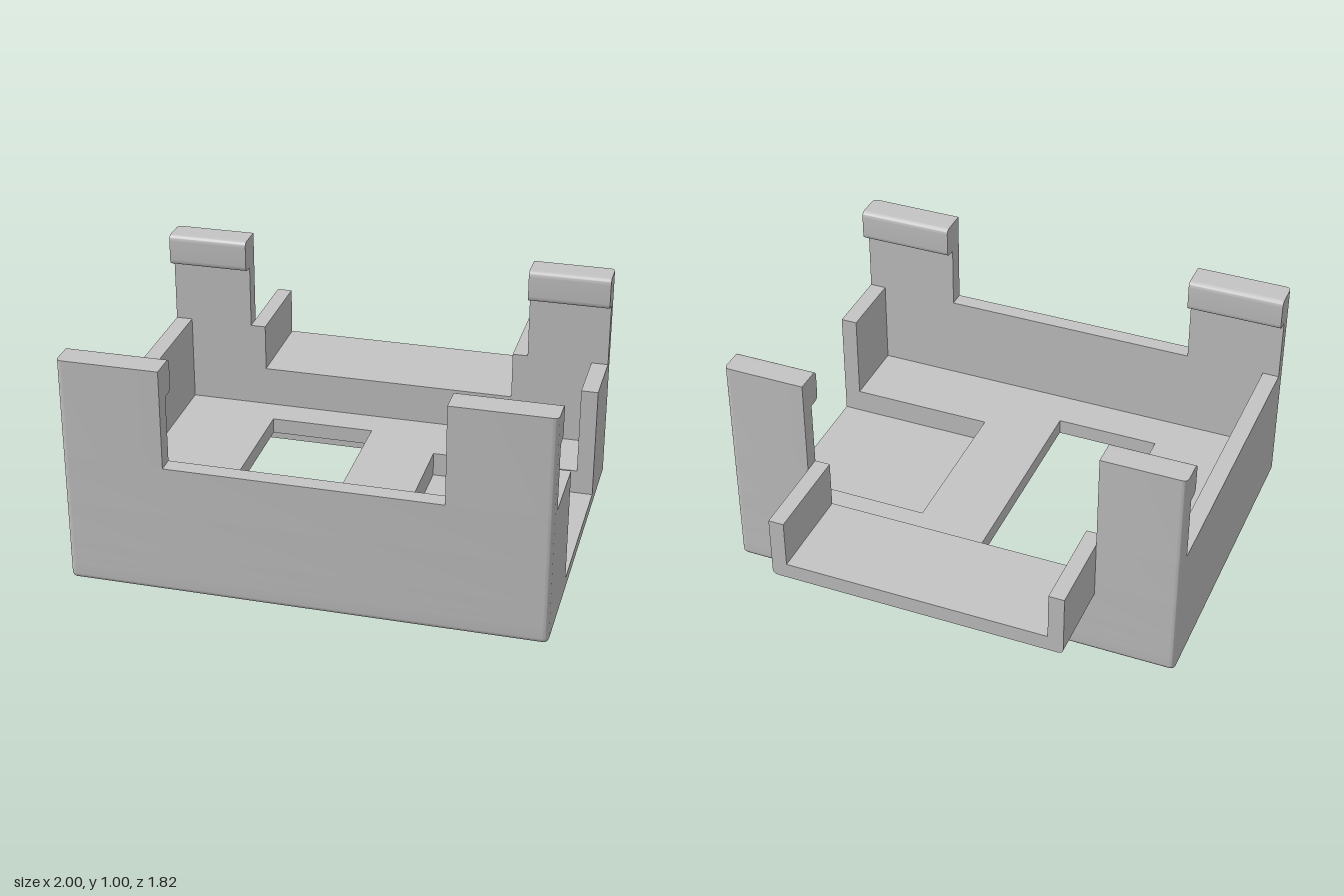
import * as THREE from 'three';
import { toCreasedNormals } from 'three/addons/utils/BufferGeometryUtils.js';

const FRONT = 0.912, BACK = -0.552, R = 0.025, TOP = 0.572;

// Polygon from [u, v, cornerRadius] points; corners with a radius are rounded.
function polygon(points, Type = THREE.Shape) {
  const shape = new Type();
  points.forEach(([u, v, r = 0], i) => {
    const n = points.length;
    const corner = new THREE.Vector2(u, v);
    const toward = (q) => new THREE.Vector2(q[0], q[1]).sub(corner).setLength(r).add(corner);
    const a = r ? toward(points[(i + n - 1) % n]) : corner;
    if (i === 0) shape.moveTo(a.x, a.y);
    else shape.lineTo(a.x, a.y);
    if (r) {
      const b = toward(points[(i + 1) % n]);
      shape.quadraticCurveTo(u, v, b.x, b.y);
    }
  });
  shape.closePath();
  return shape;
}

// Rectangular hole, wound opposite to the outlines so its walls face inward
const holeRect = (x0, x1, z0, z1) => [[x0, z0], [x0, z1], [x1, z1], [x1, z0]];
const flipV = (points) => points.map(([x, z, r]) => [x, -z, r]);

// Plan outline given as [x, z], extruded upward (not yet placed in height).
function planGeometry(points, hole, depth, steps = 1) {
  const shape = polygon(flipV(points));
  if (hole) shape.holes.push(polygon(flipV(hole), THREE.Path));
  return new THREE.ExtrudeGeometry(shape, { depth, steps, bevelEnabled: false, curveSegments: 8 })
    .rotateX(-Math.PI / 2);
}

export function createModel() {
  const group = new THREE.Group();
  const grey = new THREE.MeshStandardMaterial({ color: 0xc4c4c4 });
  grey.name = 'lightGrey';
  const add = (name, geometry) => {
    const mesh = new THREE.Mesh(toCreasedNormals(geometry, 0.7), grey);
    mesh.name = name;
    group.add(mesh);
  };
  const layer = (name, points, y0, y1, hole) =>
    add(name, planGeometry(points, hole, y1 - y0).translate(0, y0, 0));

  const corners = {
    fr: [1, FRONT, R], fl: [-1, FRONT, R], bl: [-1, BACK, R], br: [1, BACK, R],
  };
  const pocket = holeRect(-0.66, 0.09, -0.49, 0.82);
  const floorWindow = holeRect(-0.5, -0.035, -0.34, 0.66);

  // Base plate with a pocket underneath and a rounded lower edge
  const heights = [0, 0.002, 0.006, 0.013, 0.02, R, 0.072];
  const base = planGeometry([corners.fr, corners.fl, corners.bl, corners.br], pocket, 6, 6);
  const p = base.attributes.position;
  for (let i = 0; i < p.count; i++) {
    const y = heights[Math.round(p.getY(i))];
    const t = 1 - Math.min(y / R, 1);
    const k = Math.max(0.05, Math.sqrt(1 - t * t));
    const cx = THREE.MathUtils.clamp(p.getX(i), -1 + R, 1 - R);
    const cz = THREE.MathUtils.clamp(p.getZ(i), BACK + R, FRONT - R);
    p.setXYZ(i, cx + (p.getX(i) - cx) * k, y, cz + (p.getZ(i) - cz) * k);
  }
  add('basePlate', base);

  // Floor around the side recess, then the lip around the window
  const floor = [
    [1, 0.518], corners.fr, corners.fl, corners.bl, corners.br,
    [1, -0.198], [0.285, -0.198], [0.285, 0.518],
  ];
  layer('floorLower', floor, 0.072, 0.11, pocket);
  layer('floorUpper', floor, 0.11, 0.18, floorWindow);

  // Walls, open on the right side and, higher up, at the back
  layer('lowerWalls', [
    [1, 0.518], corners.fr, corners.fl, corners.bl, corners.br,
    [1, -0.198], [0.927, -0.198], [0.927, -0.483], [-0.927, -0.483],
    [-0.927, 0.84], [0.927, 0.84], [0.927, 0.518],
  ], 0.18, 0.36);
  layer('upperWalls', [
    [1, 0.518], corners.fr, corners.fl, corners.bl,
    [-0.575, BACK], [-0.575, -0.483], [-0.927, -0.483],
    [-0.927, 0.84], [0.927, 0.84], [0.927, 0.518],
  ], 0.36, TOP);
  layer('upperBackCorner', [
    [1, -0.198], [0.927, -0.198], [0.927, -0.483], [0.575, -0.483], [0.575, BACK], corners.br,
  ], 0.36, TOP);

  // Corner posts with inward clip hooks
  for (const side of [-1, 1]) {
    for (const [end, outer, inner, tip, edge] of [
      ['front', FRONT, 0.84, 0.782, 0.575],
      ['back', BACK, -0.483, -0.427, 0.642],
    ]) {
      layer(end + 'Post', [
        [side * edge, outer], [side, outer, R], [side, inner], [side * edge, inner],
      ], TOP, 1);
      const hook = polygon([[-inner, 0.858], [-tip, 0.858, R], [-tip, 1, R], [-inner, 1]]);
      add(end + 'Hook', new THREE.ExtrudeGeometry(hook, {
        depth: 1 - edge, bevelEnabled: false, curveSegments: 8,
      }).rotateY(Math.PI / 2).translate(side > 0 ? edge : -1, 0, 0));
    }
  }

  // Rear tray: U-shaped channel with rounded lower edges
  const channel = polygon([
    [-0.642, TOP], [-0.642, 0.29, R], [0.642, 0.29, R], [0.642, TOP],
    [0.575, TOP], [0.575, 0.36], [-0.575, 0.36], [-0.575, TOP],
  ]);
  add('rearTray', new THREE.ExtrudeGeometry(channel, {
    depth: 0.36, bevelEnabled: false, curveSegments: 8,
  }).translate(0, 0, BACK - 0.36));

  return group;
}
